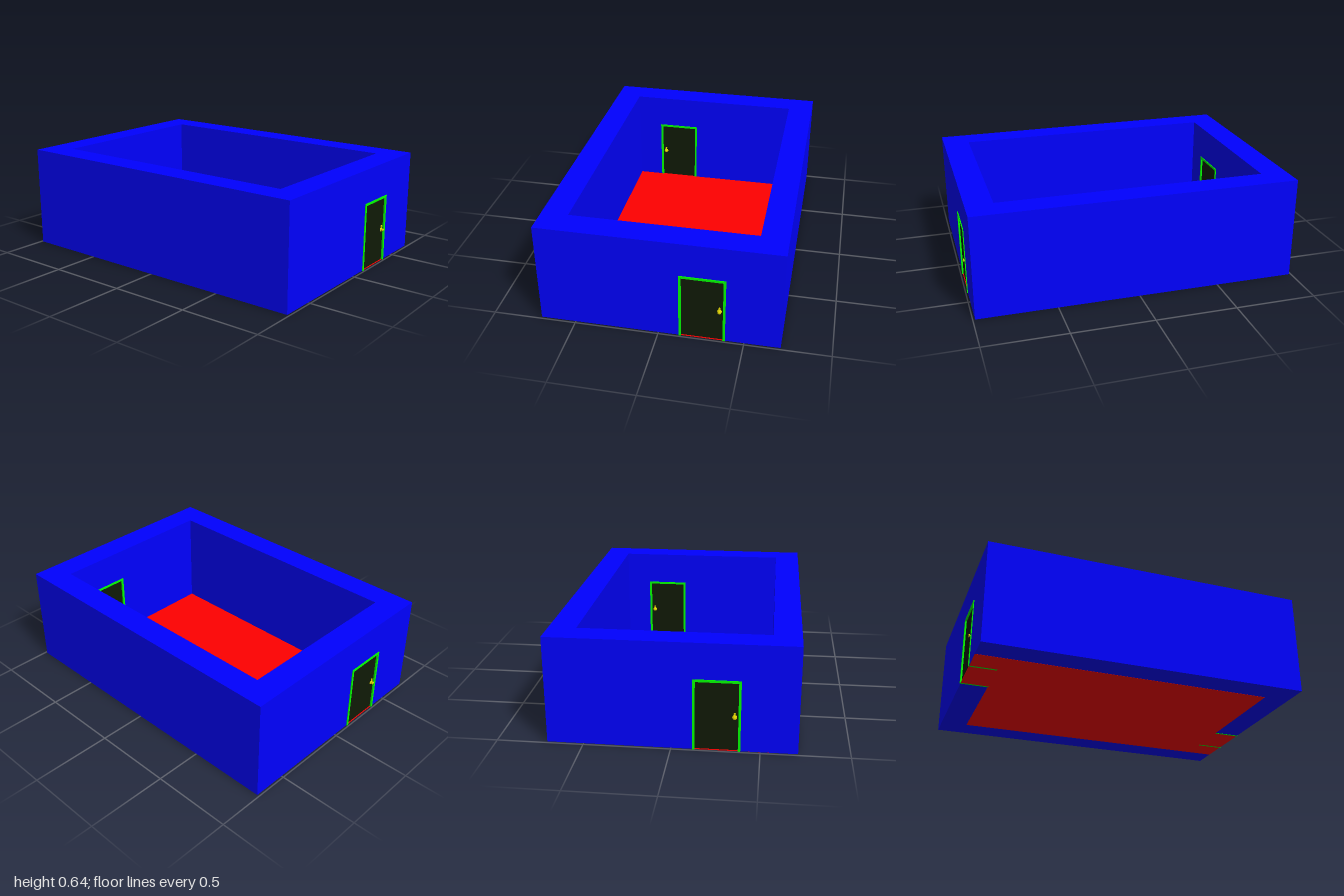
import * as THREE from 'three';

const paint = (color) => new THREE.MeshStandardMaterial({ color });

export function createModel() {
  const blue = paint(0x0000ff), red = paint(0xff0000), green = paint(0x00ff00);
  const darkGreen = paint(0x101a06), yellow = paint(0xe6d800);

  const X = 0.71, Z = 0.987, IX = 0.55, IZ = 0.823, H = 0.637; // outer and inner wall limits
  const D0 = 0.12, D1 = 0.39, DH = 0.425, T = 0.014;           // doorway and frame width
  const MID = (Z + IZ) / 2;                                    // middle of the end wall

  const add = (parent, name, geometry, material) => {
    const mesh = new THREE.Mesh(geometry, material);
    mesh.name = name;
    parent.add(mesh);
    return mesh;
  };
  // box given by its limits
  const box = (parent, name, material, x0, x1, y0, y1, z0, z1) => {
    const mesh = add(parent, name, new THREE.BoxGeometry(x1 - x0, y1 - y0, z1 - z0), material);
    mesh.position.set((x0 + x1) / 2, (y0 + y1) / 2, (z0 + z1) / 2);
    return mesh;
  };

  // round handle and keyhole cover on one face of the door
  const makeHandle = () => {
    const handle = new THREE.Group();
    handle.name = 'doorHandle';
    const profile = [[0.014, 0], [0.014, 0.002], [0.011, 0.004], [0.005, 0.005], [0.005, 0.009],
      [0.009, 0.011], [0.01, 0.014], [0.007, 0.017], [0, 0.018]];
    const knob = add(handle, 'knob',
      new THREE.LatheGeometry(profile.map(([r, h]) => new THREE.Vector2(r, h)), 20), yellow);
    const lock = add(handle, 'lock', new THREE.CylinderGeometry(0.006, 0.006, 0.006, 16), yellow);
    knob.rotation.x = lock.rotation.x = Math.PI / 2;
    lock.position.set(0, 0.022, 0.003);
    return handle;
  };

  // end wall with its doorway, frame, door and threshold
  const makeEnd = (name) => {
    const end = new THREE.Group();
    end.name = name;

    const outline = [[-X, 0.001], [D0, 0.001], [D0, DH], [D1, DH], [D1, 0.001], [X, 0.001], [X, H], [-X, H]];
    const wall = add(end, 'endWall', new THREE.ExtrudeGeometry(
      new THREE.Shape(outline.map(([x, y]) => new THREE.Vector2(x, y))),
      { depth: Z - IZ, bevelEnabled: false }), blue);
    wall.position.z = IZ;

    // frame stands slightly proud of the wall on both faces
    const frame = new THREE.Group();
    frame.name = 'doorFrame';
    end.add(frame);
    const f0 = IZ - 0.005, f1 = Z + 0.005;
    box(frame, 'innerJamb', green, D0, D0 + T, 0, DH, f0, f1);
    box(frame, 'outerJamb', green, D1 - T, D1, 0, DH, f0, f1);
    box(frame, 'header', green, D0 + T, D1 - T, DH - T, DH, f0, f1);

    box(end, 'door', darkGreen, D0 + T, D1 - T, 0.003, DH - T, IZ + 0.005, Z - 0.005);
    box(end, 'threshold', red, D0 + T, D1 - T, 0, 0.004, IZ, Z);
    box(end, 'floorStrip', red, D1, IX, 0, 0.004, IZ, Z - 0.001);

    for (const side of [1, -1]) {
      const handle = makeHandle();
      handle.position.set(0.355, 0.206, MID + side * (Z - 0.005 - MID));
      if (side < 0) handle.rotation.y = Math.PI;
      end.add(handle);
    }
    return end;
  };

  const model = new THREE.Group();
  model.name = 'room';

  box(model, 'floor', red, -IX, IX, 0, 0.004, -IZ, IZ);
  box(model, 'leftWall', blue, IX, X, 0.001, H, -IZ, IZ);
  box(model, 'rightWall', blue, -X, -IX, 0.001, H, -IZ, IZ);

  // the back end is the front end turned half round
  const back = makeEnd('backEnd');
  back.rotation.y = Math.PI;
  model.add(makeEnd('frontEnd'), back);
  return model;
}
